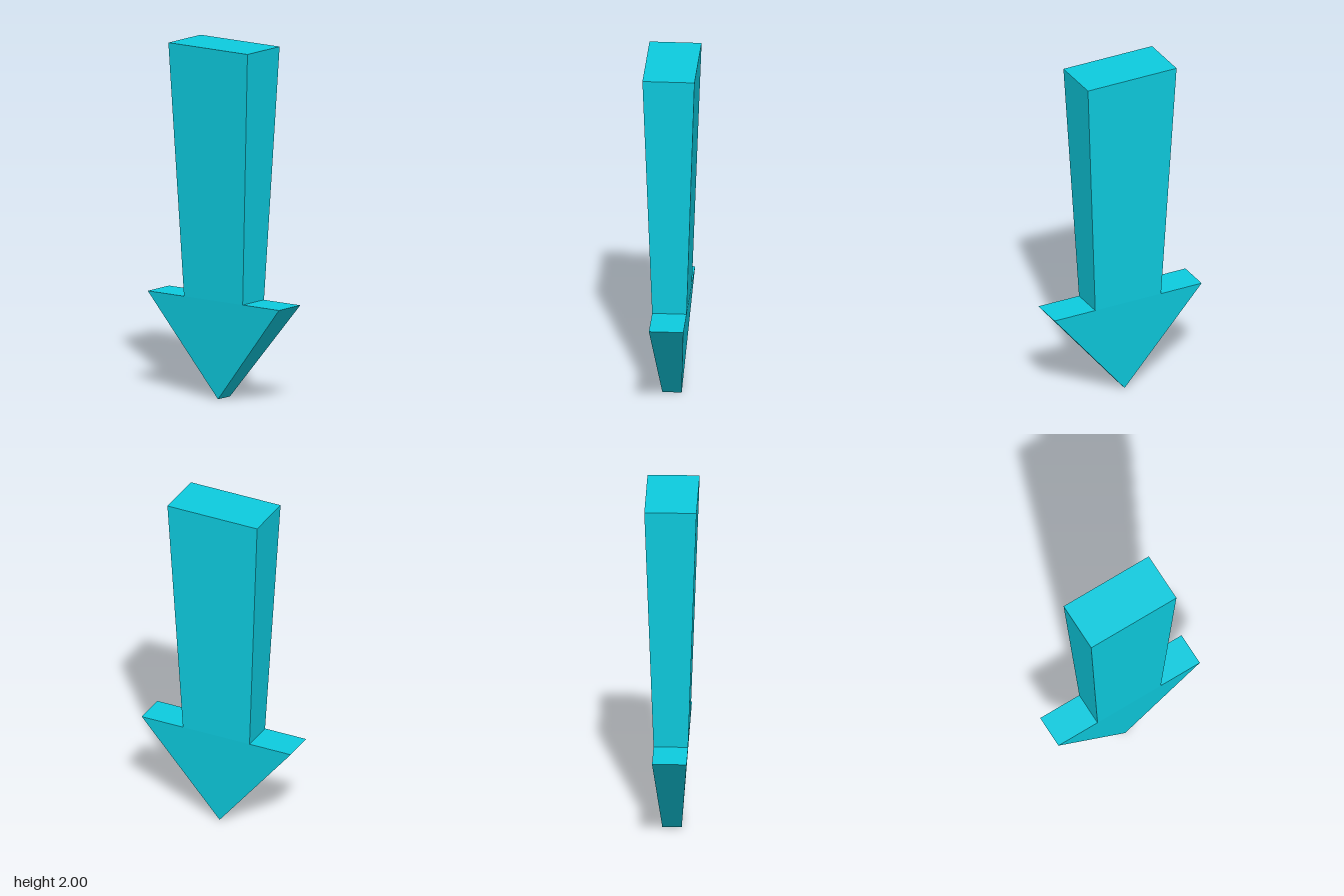
import * as THREE from 'three';

const HEAD_Y = 0.565; // height where the arrowhead meets the shaft

// Half thickness of the arrow: thin at the tip, thick at the top
function halfDepth(y) {
  return y <= HEAD_Y
    ? THREE.MathUtils.mapLinear(y, 0, HEAD_Y, 0.054, 0.096)
    : THREE.MathUtils.mapLinear(y, HEAD_Y, 2, 0.096, 0.145);
}

// Extrudes an outline, then tapers its thickness with height
function taperedPart(name, outline, material) {
  const shape = new THREE.Shape(outline.map(([x, y]) => new THREE.Vector2(x, y)));
  const geometry = new THREE.ExtrudeGeometry(shape, { depth: 1, bevelEnabled: false });
  const pos = geometry.attributes.position;
  for (let i = 0; i < pos.count; i++) {
    const side = pos.getZ(i) > 0.5 ? 1 : -1;
    pos.setZ(i, side * halfDepth(pos.getY(i)));
  }
  geometry.computeVertexNormals();
  const mesh = new THREE.Mesh(geometry, material);
  mesh.name = name;
  return mesh;
}

export function createModel() {
  const group = new THREE.Group();
  group.name = 'downArrow';
  const material = new THREE.MeshStandardMaterial({ color: 0x0dcbdf, flatShading: true });

  // Shaft, widening towards the top
  group.add(taperedPart('shaft', [[-0.207, HEAD_Y], [0.207, HEAD_Y], [0.279, 2], [-0.279, 2]], material));

  // Triangular head pointing down
  group.add(taperedPart('arrowHead', [[0, 0], [0.463, HEAD_Y], [-0.463, HEAD_Y]], material));

  return group;
}
